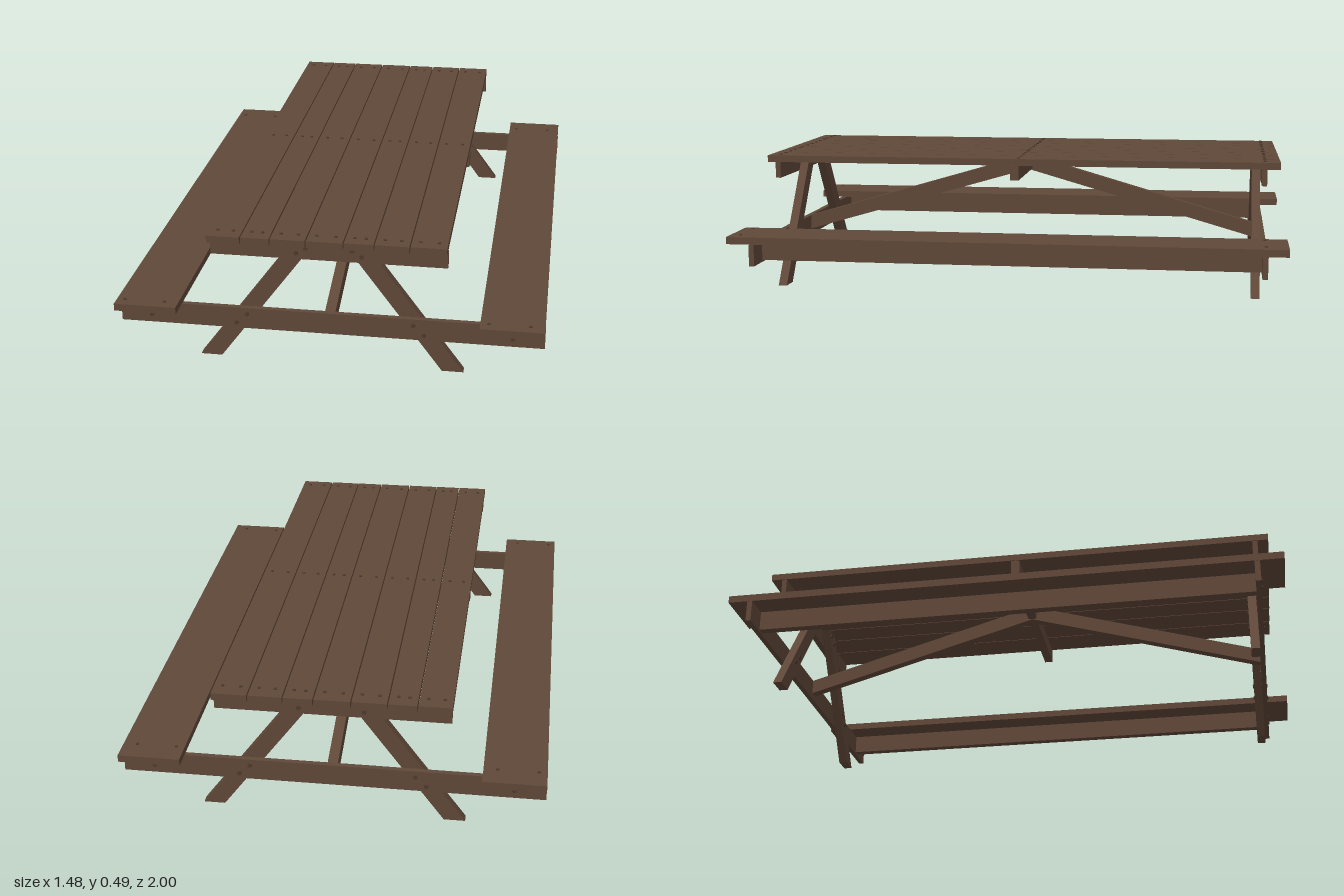
import * as THREE from 'three';

export function createModel() {
  const table = new THREE.Group();
  table.name = 'picnicTable';
  const wood = new THREE.MeshStandardMaterial({ color: 0x604838 });
  wood.name = 'brown wood';
  const bolt = new THREE.MeshStandardMaterial({ color: 0x4c392d });
  bolt.name = 'dark bolt';

  const add = (name, geometry, material = wood) => {
    const mesh = new THREE.Mesh(geometry, material);
    mesh.name = name;
    table.add(mesh);
    return mesh;
  };
  // Board given by its limits on each axis
  const board = (name, x0, x1, y0, y1, z0, z1) =>
    add(name, new THREE.BoxGeometry(x1 - x0, y1 - y0, z1 - z0))
      .position.set((x0 + x1) / 2, (y0 + y1) / 2, (z0 + z1) / 2);
  // Outline extruded along z from z0 to z1
  const slab = (points, z0, z1) => {
    const shape = new THREE.Shape(points.map(([x, y]) => new THREE.Vector2(x, y)));
    const g = new THREE.ExtrudeGeometry(shape, { depth: z1 - z0, bevelEnabled: false });
    return g.translate(0, 0, z0);
  };
  const screwGeometry = new THREE.CylinderGeometry(0.006, 0.006, 0.006, 10);
  const screw = (x, y, z) => add('screw', screwGeometry, bolt).position.set(x, y, z);
  const boltGeometry = new THREE.CylinderGeometry(0.008, 0.008, 0.008, 10).rotateX(Math.PI / 2);

  // Table top planks with narrow gaps and slightly uneven ends
  const seams = [-0.415, -0.297, -0.196, -0.073, 0.055, 0.159, 0.279, 0.405];
  for (let i = 0; i < 7; i++) {
    const x0 = seams[i] + 0.002, x1 = seams[i + 1] - 0.002;
    board('topPlank', x0, x1, 0.465, 0.49, -0.97 - 0.001 * i, 0.956 - 0.0015 * i);
    for (const z of [-0.92, -0.012, 0.905]) {
      screw(x0 + 0.03, 0.49, z);
      screw(x1 - 0.03, 0.49, z);
    }
  }

  // Middle cleat under the top
  board('middleCleat', -0.41, 0.405, 0.41, 0.465, -0.016, 0.016);

  // End frames: top cleat, seat beam, slanted legs, bolts
  for (const end of [1, -1]) {
    const legOut = end > 0 ? 0.897 : -0.909;
    const legIn = legOut - end * 0.032;
    const beamOut = legOut + end * 0.019;
    const [b0, b1] = [legOut, beamOut].sort((a, b) => a - b);
    const [l0, l1] = [legOut, legIn].sort((a, b) => a - b);
    board('topCleat', -0.41, 0.405, 0.405, 0.465, b0, b1);
    board('seatBeam', -0.74, 0.74, 0.125, 0.203, b0, b1);
    for (const s of [1, -1]) {
      const outline = [[0.39, 0], [0.465, 0], [0.122, 0.465], [0.047, 0.465]].map(([x, y]) => [s * x, y]);
      add('leg', slab(outline, l0, l1));
      for (const [x, y] of [[0.08, 0.447], [0.113, 0.427], [0.29, 0.18], [0.328, 0.145], [0.63, 0.18], [0.63, 0.155]]) {
        add('bolt', boltGeometry, bolt).position.set(s * x, y, beamOut);
        if (x < 0.5) add('nut', boltGeometry, bolt).position.set(s * x, y, legIn);
      }
    }

    // Diagonal brace from the seat beam up to the middle cleat
    const foot = Math.abs(legOut);
    const brace = slab([[0, 0.465], [0, 0.408], [foot, 0.148], [foot, 0.203]], -0.018, 0.018);
    add('diagonalBrace', brace.rotateY(-end * Math.PI / 2));
  }

  // Benches with a rail on edge beneath each seat
  for (const s of [1, -1]) {
    const c = s * 0.63;
    board('benchSeat', c - 0.109, c + 0.109, 0.204, 0.23, -1, 1);
    board('benchRail', c - 0.016, c + 0.016, 0.132, 0.205, -0.909, 0.897);
    for (const x of [-0.08, 0.06]) {
      screw(c + x, 0.23, 0.962);
      screw(c + x, 0.23, -0.92);
    }
  }
  return table;
}
